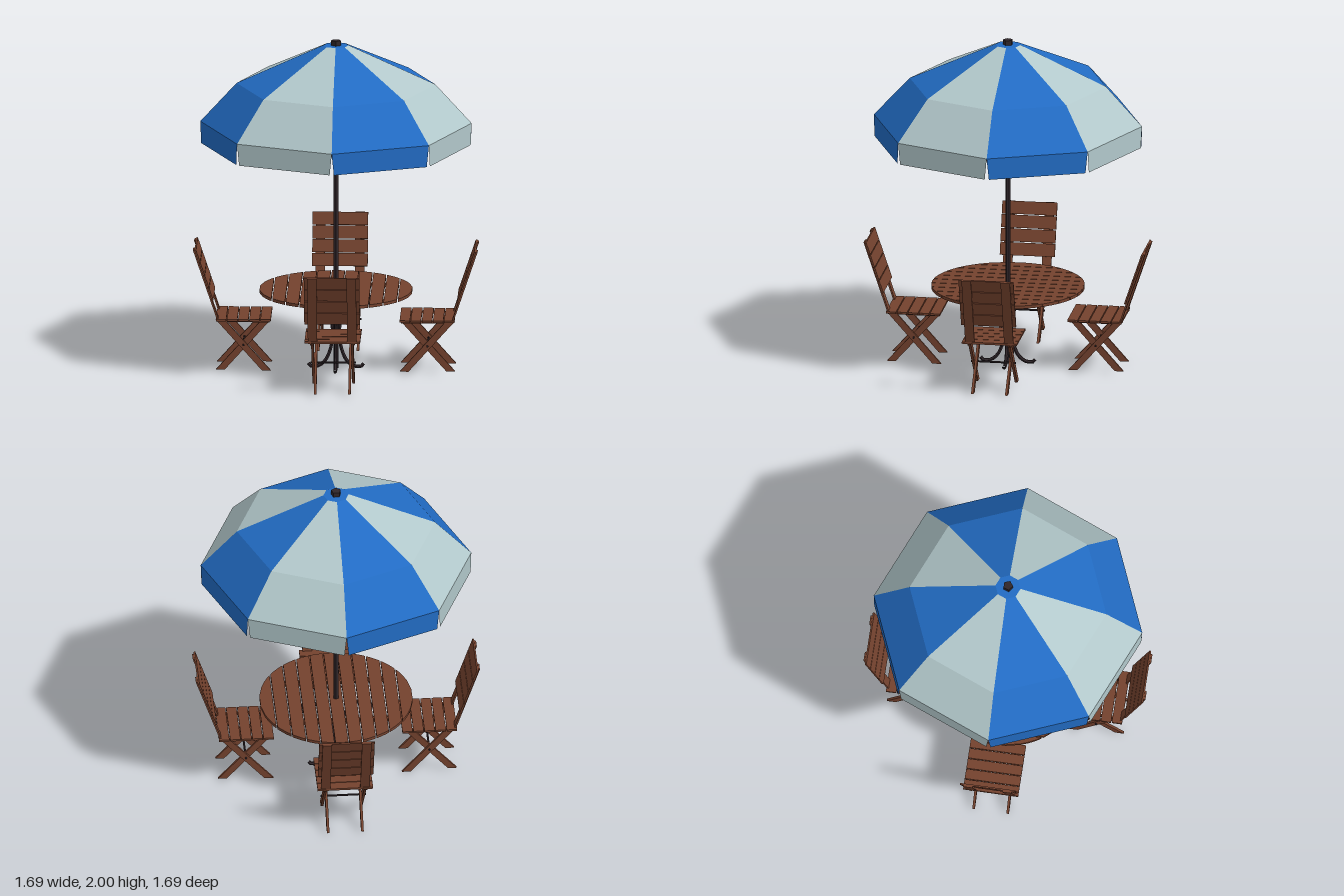
import * as THREE from 'three';

const paint = (color, extra = {}) => new THREE.MeshStandardMaterial({ color, flatShading: true, ...extra });
const wood = paint(0x74422e);
const iron = paint(0x30262a);
const blue = paint(0x226cc4, { side: THREE.DoubleSide });
const white = paint(0xb2c8cb, { side: THREE.DoubleSide });

function add(parent, name, geometry, material, x = 0, y = 0, z = 0) {
  const mesh = new THREE.Mesh(geometry, material);
  mesh.name = name;
  mesh.position.set(x, y, z);
  parent.add(mesh);
  return mesh;
}

function group(parent, name) {
  const g = new THREE.Group();
  g.name = name;
  if (parent) parent.add(g);
  return g;
}

const box = (w, h, d) => new THREE.BoxGeometry(w, h, d);

// Two triangles through corners a, b, c, d
function quad(a, b, c, d) {
  const g = new THREE.BufferGeometry().setFromPoints([a, b, c, a, c, d]);
  g.computeVertexNormals();
  return g;
}

// Eight-sided canopy: two sloping panels and a hanging flap per side
function buildCanopy(parent) {
  const canopy = group(parent, 'canopy');
  const rings = [[0.075, 1.97], [0.59, 1.735], [0.805, 1.5]];
  const at = ([r, y], k) => {
    const a = k * Math.PI / 4;
    return new THREE.Vector3(r * Math.cos(a), y, r * Math.sin(a));
  };
  for (let k = 0; k < 8; k++) {
    const cloth = k % 2 ? blue : white;
    for (let i = 0; i < 2; i++) {
      add(canopy, 'canopyPanel', quad(at(rings[i], k), at(rings[i], k + 1), at(rings[i + 1], k + 1), at(rings[i + 1], k)), cloth);
    }
    // the flap narrows towards its lower edge
    const a = at(rings[2], k), b = at(rings[2], k + 1);
    const drop = new THREE.Vector3(0, -0.13, 0);
    const c = b.clone().lerp(a, 0.022).add(drop), d = a.clone().lerp(b, 0.022).add(drop);
    add(canopy, 'canopyFlap', quad(a, b, c, d), cloth);
  }
  add(canopy, 'canopyCrown', new THREE.CircleGeometry(0.075, 8).rotateX(-Math.PI / 2), blue, 0, 1.97, 0);
  // crossed support arms
  for (const turn of [0, Math.PI / 2]) {
    const arm = new THREE.CylinderGeometry(0.015, 0.015, 1.57, 6).rotateZ(Math.PI / 2).rotateY(turn);
    add(canopy, 'supportArm', arm, iron, 0, 1.49, 0);
  }
}

// Round table top sawn from parallel boards
function buildTable(parent) {
  const table = group(parent, 'table');
  const R = 0.455, count = 11, pitch = 2 * R / count, gap = 0.006;
  for (let i = 0; i < count; i++) {
    const x0 = -R + i * pitch + gap / 2, x1 = x0 + pitch - gap;
    const edge = [];
    for (let j = 0; j <= 4; j++) {
      const x = x0 + (x1 - x0) * j / 4;
      edge.push(new THREE.Vector2(x, Math.sqrt(R * R - x * x)));
    }
    const mirrored = edge.map(p => new THREE.Vector2(p.x, -p.y)).reverse();
    const board = new THREE.ExtrudeGeometry(new THREE.Shape([...edge, ...mirrored]), { depth: 0.018, bevelEnabled: false });
    add(table, 'tableBoard', board.rotateX(-Math.PI / 2), wood, 0, 0.467, 0);
  }
  for (const z of [-0.2, 0.2]) add(table, 'tableCleat', box(0.7, 0.014, 0.04), wood, 0, 0.46, z);

  // scrolled iron legs around the pole
  const profile = [
    [0.165, 0.03], [0.15, 0.012], [0.105, 0.014], [0.065, 0.045], [0.035, 0.11], [0.02, 0.2],
    [0.03, 0.3], [0.06, 0.38], [0.1, 0.435], [0.15, 0.453], [0.195, 0.44], [0.212, 0.415], [0.2, 0.397], [0.178, 0.405],
  ];
  const path = new THREE.CatmullRomCurve3(profile.map(([r, y]) => new THREE.Vector3(r, y, 0)));
  for (let k = 0; k < 4; k++) {
    add(table, 'ironLeg', new THREE.TubeGeometry(path, 32, 0.011, 6), iron).rotation.y = k * Math.PI / 2;
  }
  add(table, 'legCollar', new THREE.CylinderGeometry(0.034, 0.034, 0.025, 8), iron, 0, 0.19, 0);
}

// Folding chair, its back towards +z
function buildChair() {
  const chair = group(null, 'chair');
  for (let i = 0; i < 5; i++) {
    add(chair, 'seatSlat', box(0.33, 0.012, 0.061), wood, 0, 0.325, 0.413 + i * 0.066);
  }

  // crossed legs with level ends
  const leg = (low, high, x) => {
    const w = 0.052;
    const shape = new THREE.Shape([[low, 0.01], [low + w, 0.01], [high + w, 0.32], [high, 0.32]].map(p => new THREE.Vector2(...p)));
    const g = new THREE.ExtrudeGeometry(shape, { depth: 0.015, bevelEnabled: false });
    add(chair, 'crossedLeg', g.translate(0, 0, -0.0075).rotateY(-Math.PI / 2), wood, x, 0, 0);
  };
  for (const side of [-1, 1]) {
    leg(0.382, 0.658, side * 0.118);
    leg(0.658, 0.382, side * 0.102);
    add(chair, 'seatRail', box(0.016, 0.014, 0.31), wood, side * 0.125, 0.314, 0.545);
  }
  add(chair, 'pivotRod', new THREE.CylinderGeometry(0.006, 0.006, 0.27, 6).rotateZ(Math.PI / 2), iron, 0, 0.166, 0.546);

  // leaning back: two stiles carrying four slats
  const back = group(chair, 'chairBack');
  back.position.set(0, 0.318, 0.695);
  back.rotation.x = 0.325;
  for (const side of [-1, 1]) add(back, 'backStile', box(0.056, 0.455, 0.01), wood, side * 0.117, 0.2275, 0);
  for (let i = 0; i < 4; i++) {
    add(back, 'backSlat', box(0.33, 0.077, 0.01), wood, 0, 0.168 + i * 0.082, -0.01);
  }
  return chair;
}

export function createModel() {
  const model = group(null, 'patioSet');
  add(model, 'pole', new THREE.CylinderGeometry(0.016, 0.016, 1.97, 6), iron, 0, 0.985, 0);
  add(model, 'finial', new THREE.CylinderGeometry(0.03, 0.03, 0.035, 5), iron, 0, 1.9825, 0);
  buildCanopy(model);
  buildTable(model);
  for (let k = 0; k < 4; k++) {
    const chair = buildChair();
    chair.rotation.y = k * Math.PI / 2;
    model.add(chair);
  }
  return model;
}
